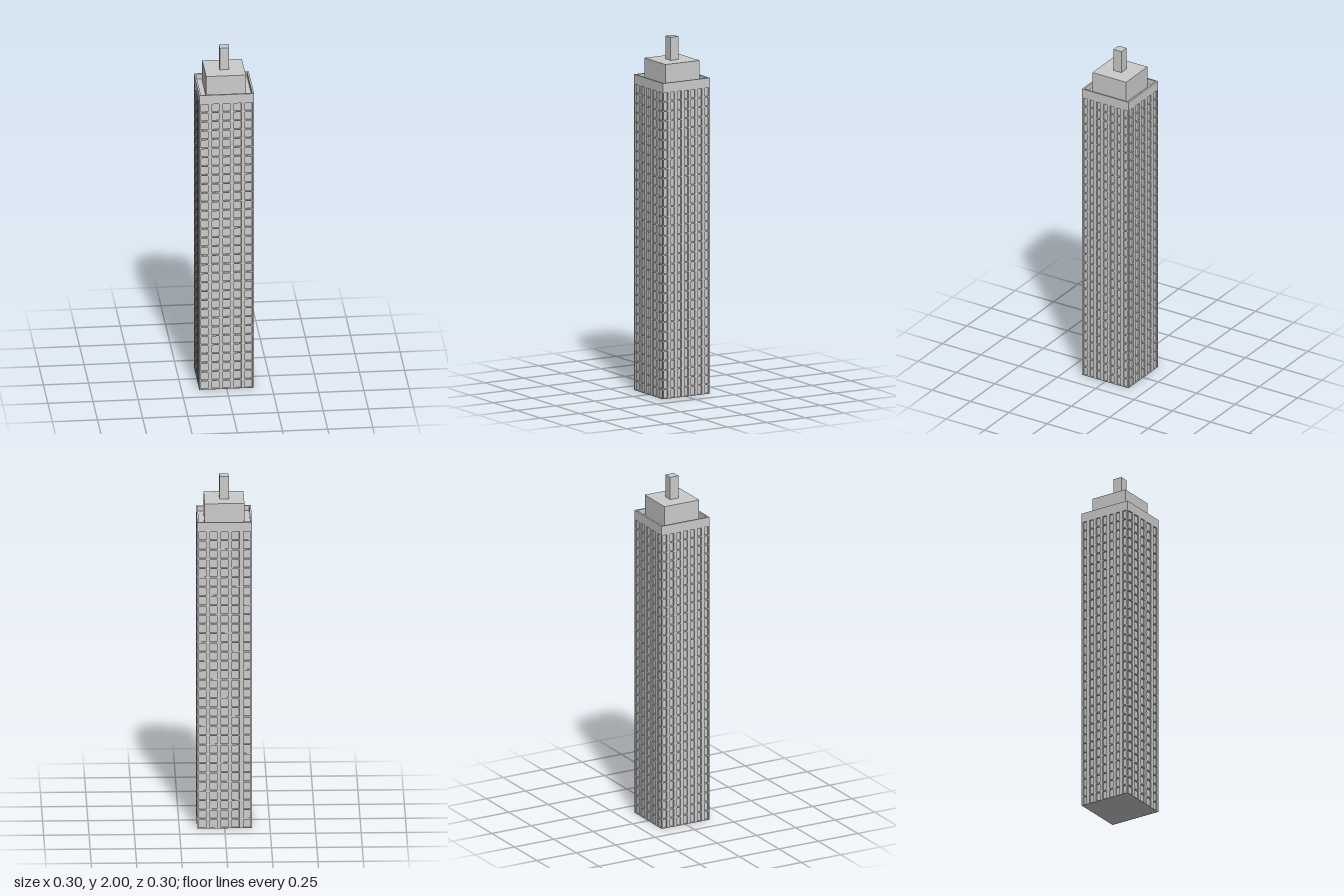
import * as THREE from 'three';

const HALF = 0.152;      // half width of the tower
const DEPTH = 0.008;     // window recess
const PARAPET_Y = 1.724; // top of the window grid
const ROOF_Y = 1.745;
const TOP_Y = 1.775;
const ROWS = 32;

const material = new THREE.MeshStandardMaterial({ color: 0xcccccc, flatShading: true });

function rect(Type, x0, y0, x1, y1) {
  const r = new Type();
  r.moveTo(x0, y0);
  r.lineTo(x1, y0);
  r.lineTo(x1, y1);
  r.lineTo(x0, y1);
  r.closePath();
  return r;
}

function add(parent, name, geometry, x = 0, y = 0, z = 0) {
  const mesh = new THREE.Mesh(geometry, material);
  mesh.name = name;
  mesh.position.set(x, y, z);
  parent.add(mesh);
  return mesh;
}

function box(parent, name, width, y0, y1) {
  return add(parent, name, new THREE.BoxGeometry(width, y1 - y0, width), 0, (y0 + y1) / 2, 0);
}

// Wall slab pierced by a regular grid of windows
function facadeGeometry(halfWidth, columns, spacing, windowWidth) {
  const wall = rect(THREE.Shape, -halfWidth, 0, halfWidth, PARAPET_Y);
  const pitch = PARAPET_Y / ROWS;
  const gap = 0.0035;
  for (let c = 0; c < columns; c++) {
    const x = (c - (columns - 1) / 2) * spacing;
    for (let r = 0; r < ROWS; r++) {
      wall.holes.push(rect(THREE.Path, x - windowWidth / 2, r * pitch + gap,
        x + windowWidth / 2, (r + 1) * pitch - gap));
    }
  }
  return new THREE.ExtrudeGeometry(wall, { depth: DEPTH, bevelEnabled: false });
}

export function createModel() {
  const tower = new THREE.Group();
  tower.name = 'tower';

  // Inner block: window panes and roof deck
  box(tower, 'core', 2 * (HALF - DEPTH), 0, ROOF_Y);

  // Five window columns front and back, seven on the sides
  const wide = facadeGeometry(HALF, 5, 0.061, 0.039);
  const narrow = facadeGeometry(HALF - DEPTH, 7, 0.0437, 0.0245);
  ['frontFacade', 'leftFacade', 'backFacade', 'rightFacade'].forEach((name, i) => {
    const side = new THREE.Group();
    side.name = name;
    side.rotation.y = i * Math.PI / 2;
    add(side, name + 'Wall', i % 2 ? narrow : wide, 0, 0, HALF - DEPTH);
    tower.add(side);
  });

  // Parapet ring around the roof
  const ring = rect(THREE.Shape, -HALF, -HALF, HALF, HALF);
  ring.holes.push(rect(THREE.Path, -0.142, -0.142, 0.142, 0.142));
  const parapet = add(tower, 'parapet',
    new THREE.ExtrudeGeometry(ring, { depth: TOP_Y - PARAPET_Y, bevelEnabled: false }), 0, PARAPET_Y, 0);
  parapet.rotation.x = -Math.PI / 2;

  // Rooftop block and mast
  box(tower, 'penthouse', 0.22, ROOF_Y, 1.87);
  box(tower, 'mast', 0.052, 1.87, 2);

  return tower;
}
